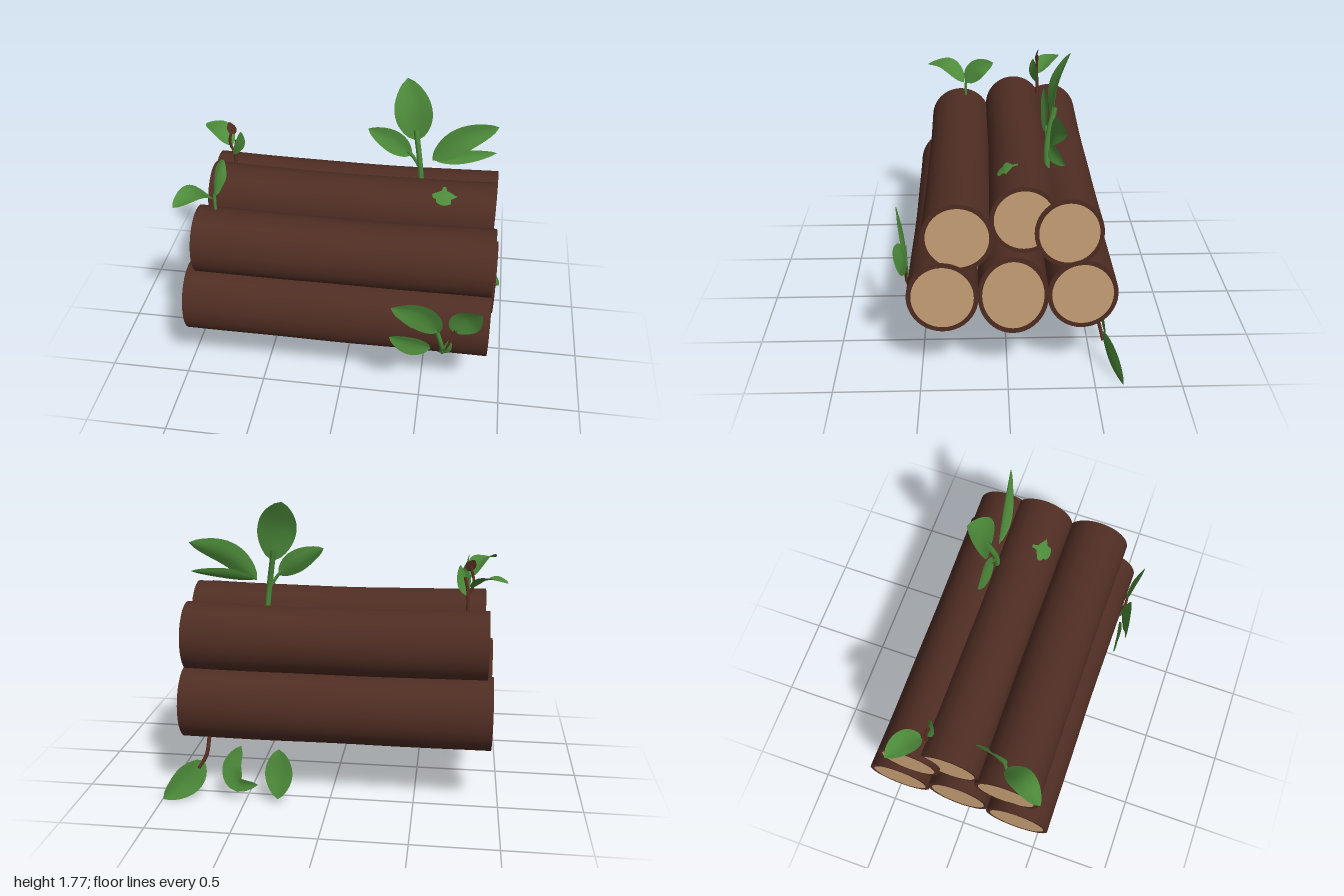
import * as THREE from 'three';

const bark = new THREE.MeshStandardMaterial({ color: 0x4f2d23 });
const wood = new THREE.MeshStandardMaterial({ color: 0xc8a276 });
const leafGreen = new THREE.MeshStandardMaterial({ color: 0x4d8b3a, side: THREE.DoubleSide });
const dryBrown = new THREE.MeshStandardMaterial({ color: 0x5a3122, side: THREE.DoubleSide });
bark.name = 'bark'; wood.name = 'cut wood'; leafGreen.name = 'leaf green'; dryBrown.name = 'dry brown';

const V = (p) => new THREE.Vector3(...p);

function add(parent, name, geometry, material) {
  const mesh = new THREE.Mesh(geometry, material);
  mesh.name = name;
  parent.add(mesh);
  return mesh;
}

// Log along x: slightly waisted, sagging bark tube with a bark rim and a pale cut face at each end
function makeLog(name, x0, x1, y, z, ry, rz, seed) {
  const log = new THREE.Group();
  log.name = name;
  const length = x1 - x0;
  const tube = new THREE.CylinderGeometry(1, 1, length, 40, 14, true);
  tube.rotateZ(-Math.PI / 2);
  const p = tube.attributes.position;
  for (let i = 0; i < p.count; i++) {
    const u = p.getX(i) / (length / 2);
    const a = Math.atan2(p.getZ(i), p.getY(i));
    const mid = 1 - u * u;
    const bump = 0.012 * mid * Math.sin(3 * a + seed + 2 * u) * Math.cos(4 * u + seed);
    const r = 1 - 0.03 * mid + bump;
    p.setY(i, p.getY(i) * r * ry - 0.01 * mid);
    p.setZ(i, p.getZ(i) * r * rz);
  }
  tube.computeVertexNormals();
  // share normals across the tube's seam
  const n = tube.attributes.normal;
  for (let row = 0; row <= 14; row++) {
    const a = row * 41, b = a + 40;
    const s = new THREE.Vector3().fromBufferAttribute(n, a).add(new THREE.Vector3().fromBufferAttribute(n, b)).normalize();
    n.setXYZ(a, s.x, s.y, s.z);
    n.setXYZ(b, s.x, s.y, s.z);
  }
  add(log, 'barkTube', tube, bark);
  const inner = 0.872;
  for (const side of [-1, 1]) {
    const parts = [
      ['barkRim', new THREE.RingGeometry(inner, 1, 40), bark],
      ['cutFace', new THREE.CircleGeometry(inner, 40), wood],
    ];
    for (const [part, geometry, material] of parts) {
      geometry.scale(rz, ry, 1);
      geometry.rotateY(side * Math.PI / 2);
      geometry.translate(side * length / 2, 0, 0);
      add(log, part, geometry, material);
    }
  }
  log.position.set((x0 + x1) / 2, y, z);
  return log;
}

// Leaf: a ribbon along a curve, widest past the base and creased along its midrib
function makeLeaf(parent, points, width, facing, material = leafGreen) {
  const curve = new THREE.CatmullRomCurve3(points.map(V));
  const rows = 14, positions = [], index = [];
  for (let i = 0; i <= rows; i++) {
    const t = i / rows;
    const c = curve.getPoint(t);
    const tangent = curve.getTangent(t);
    const side = V(facing).cross(tangent).normalize();
    const normal = tangent.clone().cross(side);
    const half = width / 2 * Math.pow(Math.max(0, Math.sin(Math.PI * Math.pow(t, 0.9))), 0.7);
    for (const s of [-1, -0.5, 0, 0.5, 1]) {
      const q = c.clone().addScaledVector(side, s * half).addScaledVector(normal, Math.abs(s) * half * 0.25);
      positions.push(q.x, q.y, q.z);
    }
    if (i === rows) continue;
    for (let k = 0; k < 4; k++) {
      const a = i * 5 + k;
      index.push(a, a + 1, a + 5, a + 1, a + 6, a + 5);
    }
  }
  const geometry = new THREE.BufferGeometry();
  geometry.setAttribute('position', new THREE.Float32BufferAttribute(positions, 3));
  geometry.setIndex(index);
  geometry.computeVertexNormals();
  add(parent, 'leaf', geometry, material);
}

function makeStem(parent, points, radius, material = leafGreen) {
  const curve = new THREE.CatmullRomCurve3(points.map(V));
  add(parent, 'stem', new THREE.TubeGeometry(curve, 10, radius, 6), material);
}

export function createModel() {
  const model = new THREE.Group();
  model.name = 'logPile';

  // Logs: name, x range, centre y and z, radii
  const logs = [
    ['bottomFrontLog', -0.96, 0.895, 0.553, 0.365, 0.222, 0.202],
    ['bottomMiddleLog', -0.94, 0.92, 0.577, -0.03, 0.247, 0.198],
    ['bottomBackLog', -0.945, 0.89, 0.56, -0.42, 0.218, 0.198],
    ['topFrontLog', -0.9, 0.89, 0.925, 0.275, 0.207, 0.2],
    ['topMiddleLog', -0.88, 0.875, 1.023, -0.09, 0.2, 0.19],
    ['topBackLog', -0.91, 0.885, 0.945, -0.335, 0.208, 0.19],
  ];
  logs.forEach((spec, i) => model.add(makeLog(...spec, i * 1.7)));

  const plant = (name) => {
    const g = new THREE.Group();
    g.name = name;
    model.add(g);
    return g;
  };

  // Tall sprout on top
  const tall = plant('tallSprout');
  makeStem(tall, [[0.41, 1.12, -0.24], [0.395, 1.26, -0.24], [0.36, 1.47, -0.28]], 0.018);
  makeStem(tall, [[0.4, 1.22, -0.24], [0.36, 1.29, -0.24], [0.32, 1.34, -0.24]], 0.011);
  makeLeaf(tall, [[0.37, 1.4, -0.27], [0.335, 1.6, -0.3], [0.29, 1.77, -0.37]], 0.23, [0.1, 0, 1]);
  makeLeaf(tall, [[0.34, 1.31, -0.24], [0.22, 1.4, -0.25], [0.07, 1.48, -0.235]], 0.14, [0, 0.3, 1]);
  makeLeaf(tall, [[0.47, 1.28, -0.25], [0.64, 1.43, -0.27], [0.86, 1.51, -0.31]], 0.16, [0, 0.2, 1]);
  makeLeaf(tall, [[0.48, 1.285, -0.25], [0.65, 1.31, -0.26], [0.86, 1.335, -0.3]], 0.08, [0, 0.5, 1]);

  // Single leaf lying on the top log
  makeLeaf(plant('fallenLeaf'), [[0.49, 1.19, 0], [0.57, 1.197, 0], [0.66, 1.19, 0]], 0.13, [0, -1, -0.5]);

  // Small half-dry sprout, back right
  const dry = plant('drySprout');
  makeStem(dry, [[-0.78, 1.1, -0.25], [-0.78, 1.24, -0.25], [-0.76, 1.33, -0.23]], 0.011, dryBrown);
  makeStem(dry, [[-0.78, 1.22, -0.25], [-0.81, 1.3, -0.25], [-0.79, 1.4, -0.25]], 0.009, dryBrown);
  makeLeaf(dry, [[-0.77, 1.37, -0.24], [-0.79, 1.4, -0.25], [-0.81, 1.44, -0.26]], 0.06, [0, 0.3, 1], dryBrown);
  makeLeaf(dry, [[-0.8, 1.27, -0.26], [-0.89, 1.34, -0.33], [-1, 1.34, -0.4]], 0.14, [0, 1, 0.1]);
  makeLeaf(dry, [[-0.78, 1.22, -0.24], [-0.75, 1.3, -0.23], [-0.73, 1.4, -0.22]], 0.08, [0.7, 0, 0.7]);

  // Two-leaf sprout, front right
  const pair = plant('twoLeafSprout');
  makeStem(pair, [[-0.79, 1.09, 0.24], [-0.79, 1.16, 0.24], [-0.79, 1.23, 0.235]], 0.01);
  makeLeaf(pair, [[-0.8, 1.21, 0.25], [-0.87, 1.31, 0.37], [-0.96, 1.295, 0.5]], 0.15, [0.2, 1, 0]);
  makeLeaf(pair, [[-0.79, 1.21, 0.23], [-0.78, 1.31, 0.16], [-0.77, 1.36, 0.05]], 0.13, [1, 0.4, 0]);

  // Sprout on the front log
  const front = plant('frontSprout');
  makeStem(front, [[0.63, 0.42, 0.535], [0.62, 0.52, 0.575], [0.59, 0.63, 0.59]], 0.014);
  makeStem(front, [[0.63, 0.42, 0.535], [0.66, 0.52, 0.575], [0.7, 0.64, 0.575]], 0.01, dryBrown);
  makeLeaf(front, [[0.6, 0.6, 0.57], [0.49, 0.75, 0.6], [0.32, 0.83, 0.65]], 0.19, [0, 0, 1]);
  makeLeaf(front, [[0.56, 0.48, 0.575], [0.44, 0.51, 0.59], [0.31, 0.56, 0.6]], 0.14, [0, 0, 1]);
  makeLeaf(front, [[0.68, 0.62, 0.565], [0.76, 0.73, 0.58], [0.84, 0.82, 0.63]], 0.18, [0, 0, 1]);
  makeLeaf(front, [[0.61, 0.42, 0.54], [0.65, 0.48, 0.57], [0.67, 0.57, 0.58]], 0.06, [0.3, 0, 1]);

  // Leaves hanging below the back log
  const hanging = plant('hangingLeaves');
  makeLeaf(hanging, [[0.3, 0.325, -0.55], [0.295, 0.17, -0.575], [0.3, 0.03, -0.615]], 0.165, [0, 0, -1]);
  makeLeaf(hanging, [[0.53, 0.33, -0.54], [0.58, 0.21, -0.57], [0.55, 0.11, -0.59], [0.42, 0.11, -0.6]], 0.12, [0, 0, -1]);
  makeStem(hanging, [[0.73, 0.37, -0.51], [0.745, 0.26, -0.54], [0.79, 0.18, -0.56]], 0.012, dryBrown);
  makeLeaf(hanging, [[0.76, 0.23, -0.55], [0.86, 0.11, -0.59], [0.99, 0.01, -0.66]], 0.18, [-0.2, 0, -1]);

  return model;
}
